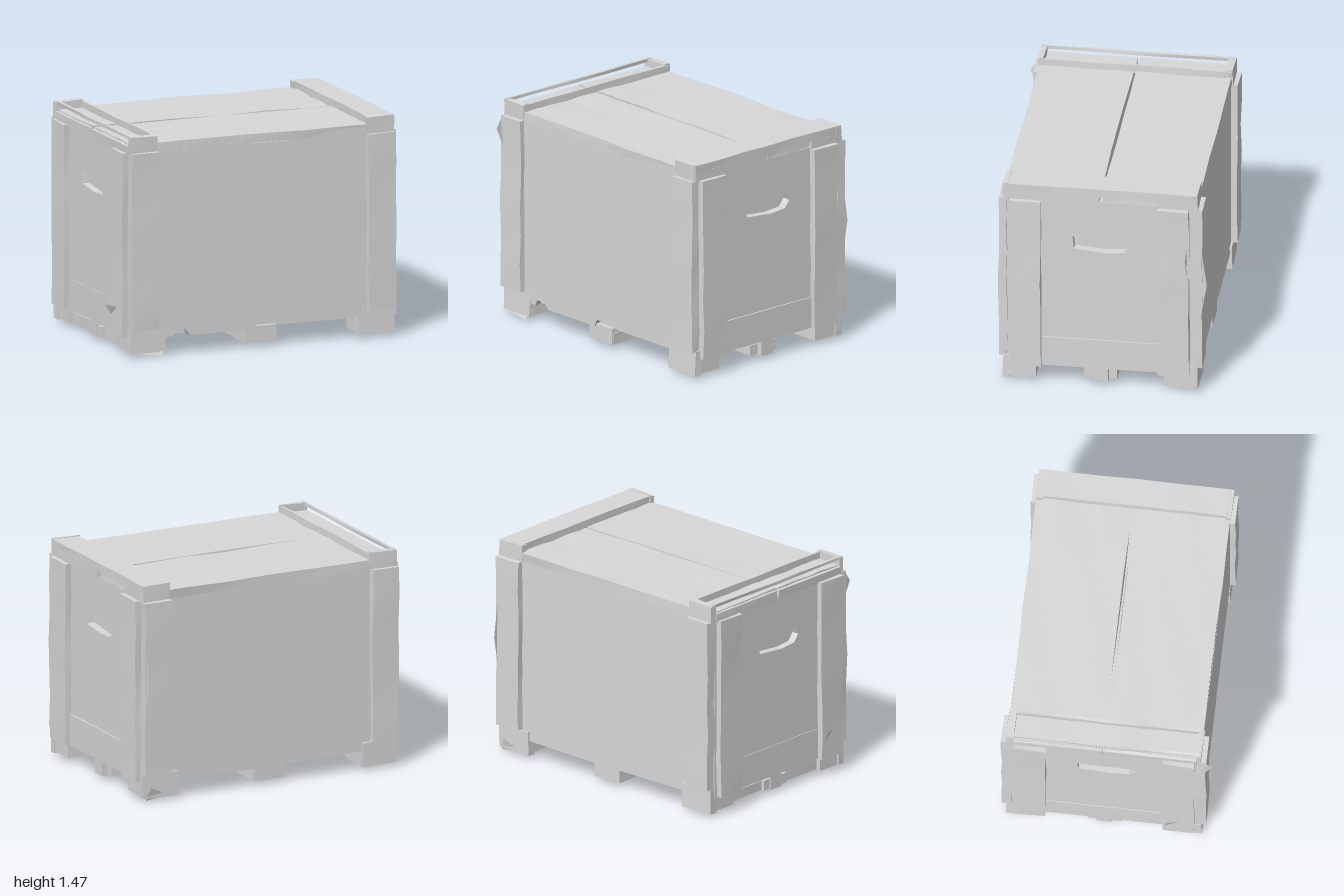
import * as THREE from 'three';

const wood = new THREE.MeshStandardMaterial({ color: 0xd8d8d8 });
wood.name = 'greyWood';

// Repeatable wear: the same position always gets the same offset
const wear = (x, y, z, k) => {
  const s = Math.sin(x * 127.1 + y * 311.7 + z * 74.7 + k * 53.3) * 4375.85;
  return s - Math.floor(s) - 0.5;
};

function add(group, name, geo) {
  const mesh = new THREE.Mesh(geo, wood);
  mesh.name = name;
  group.add(mesh);
  return mesh;
}

// A worn board given by its min / max corners
function board(group, name, [x0, x1], [y0, y1], [z0, z1], amount = 0) {
  const size = [x1 - x0, y1 - y0, z1 - z0];
  const seg = size.map(s => (amount && s > 0.6 ? 6 : 1));
  const geo = new THREE.BoxGeometry(...size, ...seg);
  geo.translate((x0 + x1) / 2, (y0 + y1) / 2, (z0 + z1) / 2);
  if (amount) {
    const p = geo.attributes.position;
    for (let i = 0; i < p.count; i++) {
      const v = [p.getX(i), p.getY(i), p.getZ(i)].map(n => Math.round(n * 1000) / 1000);
      p.setXYZ(i, ...v.map((n, k) => n + amount * wear(...v, k)));
    }
    geo.computeVertexNormals();
  }
  add(group, name, geo);
}

// A flat panel cut from an outline, with optional holes
function panel(group, name, outline, depth, holes = []) {
  const toV = pts => pts.map(([x, y]) => new THREE.Vector2(x, y));
  const shape = new THREE.Shape(toV(outline));
  holes.forEach(h => shape.holes.push(new THREE.Path(toV(h))));
  return add(group, name, new THREE.ExtrudeGeometry(shape, { depth, bevelEnabled: false }));
}

// Loose triangles with flat normals
function triangles(group, name, points) {
  const geo = new THREE.BufferGeometry();
  geo.setAttribute('position', new THREE.Float32BufferAttribute(points.flat(), 3));
  geo.computeVertexNormals();
  return add(group, name, geo);
}

// A thin splinter sticking out of an edge, closed on both sides
const splinter = (group, a, b, c) => triangles(group, 'splinter', [a, b, c, a, c, b]);

// A tapered pocket behind a clockwise hole outline
function pocket(group, loop, [cx, cy], zOut, zIn) {
  const points = [];
  loop.forEach((p, i) => {
    const q = loop[(i + 1) % loop.length];
    const shrink = ([x, y]) => [cx + (x - cx) * 0.85, cy + (y - cy) * 0.6, zIn];
    const [a, b, c, d] = [[...p, zOut], [...q, zOut], shrink(q), shrink(p)];
    points.push(a, b, c, a, c, d, d, c, [cx, cy, zIn]);
  });
  return triangles(group, 'handPocket', points);
}

export function createModel() {
  const crate = new THREE.Group();
  crate.name = 'crate';

  // Inner body
  board(crate, 'body', [-0.87, 0.88], [0.13, 1.36], [-0.59, 0.59]);

  // Lid: two planks with a narrow joint
  board(crate, 'lidFront', [-0.91, 0.93], [1.36, 1.42], [0.004, 0.63], 0.01);
  board(crate, 'lidBack', [-0.91, 0.93], [1.36, 1.42], [-0.64, -0.014], 0.01);

  // Front and back panels with chipped edges
  const front = panel(crate, 'frontPanel', [
    [-0.91, 0.13], [-0.62, 0.12], [-0.6, 0.16], [-0.53, 0.16], [-0.5, 0.12], [-0.04, 0.12],
    [-0.02, 0.17], [0.68, 0.17], [0.73, 0.13], [0.93, 0.13], [0.93, 1.4], [0.23, 1.4], [0.2, 1.36],
    [-0.05, 1.36], [-0.08, 1.4], [-0.13, 1.4], [-0.17, 1.37], [-0.28, 1.37], [-0.3, 1.4],
    [-0.5, 1.4], [-0.54, 1.35], [-0.58, 1.4], [-0.91, 1.4],
  ], 0.045);
  front.position.z = 0.585;
  const back = panel(crate, 'backPanel', [
    [-0.91, 0.13], [-0.1, 0.12], [0.45, 0.12], [0.93, 0.13], [0.93, 1.4], [0.3, 1.4],
    [0.24, 1.36], [0.14, 1.37], [0.1, 1.4], [-0.91, 1.4],
  ], 0.045);
  back.position.z = -0.635;

  // End panels with a hand hole, a bottom rail and two uprights each
  const hole = [[-0.18, 1.1], [0.18, 1.1], [0.2, 1.05], [0.16, 1.0], [0.04, 0.99], [-0.17, 1.01]];
  const outline = [[-0.61, 0.13], [0.61, 0.13], [0.61, 1.37], [-0.61, 1.37]];
  for (const s of [1, -1]) {
    const end = new THREE.Group();
    end.name = s > 0 ? 'leftEnd' : 'rightEnd';
    const wall = panel(end, 'endPanel', outline, 0.055, [hole]);
    const grip = pocket(end, hole, [0.01, 1.05], 0.055, 0.01);
    for (const part of [wall, grip]) {
      part.rotation.y = s * Math.PI / 2;
      part.position.x = s > 0 ? 0.88 : -0.865;
    }
    const span = (a, b) => (s > 0 ? [a, b] : [-b + 0.02, -a + 0.02]);
    board(end, 'bottomRail', span(0.92, 0.945), [0.13, 0.34], [-0.385, 0.385]);
    for (const z of [-0.59, 0.385])
      board(end, 'endUpright', span(0.92, 0.98), [0.13, 1.36], [z, z + 0.205], 0.01);
    crate.add(end);
  }

  // Corner boards on the front and back faces, with foot caps below and top caps above
  for (const [x0, x1] of [[-0.92, -0.73], [0.755, 0.95]]) {
    for (const s of [1, -1]) {
      const span = (a, b) => (s > 0 ? [a, b] : [-b - 0.012, -a]);
      board(crate, 'cornerBoard', [x0, x1], [0.19, 1.36], span(0.61, 0.665), 0.01);
      board(crate, 'topCap', [x0, x1], [1.35, 1.47], span(0.6, 0.635), 0.01);
      board(crate, 'footCap', x0 < 0 ? [x0, -0.67] : [0.69, x1], [0.025, 0.19], span(0.59, 0.635), 0.01);
    }
  }

  // Left top batten: whole on top, with a break in its outer drop
  board(crate, 'topBatten', [0.765, 0.95], [1.41, 1.47], [-0.63, 0.63], 0.006);
  board(crate, 'battenDropFront', [0.92, 0.95], [1.36, 1.42], [0.004, 0.63]);
  board(crate, 'battenDropBack', [0.92, 0.95], [1.36, 1.42], [-0.63, -0.38]);

  // Right top batten: split open into thin strips
  board(crate, 'splitBattenInner', [-0.745, -0.725], [1.41, 1.465], [-0.63, 0.63], 0.006);
  board(crate, 'splitBattenOuter', [-0.915, -0.895], [1.45, 1.47], [-0.63, 0.63], 0.006);
  for (const z of [[-0.6, -0.014], [0.004, 0.6]])
    board(crate, 'splitBattenLip', [-0.93, -0.9], [1.35, 1.41], z, 0.006);

  // Pallet base: spacer blocks in three rows, joined by skids
  for (const [x0, x1] of [[-0.91, -0.67], [-0.1, 0.12], [0.7, 0.94]])
    for (const [z0, z1] of [[-0.63, -0.42], [-0.055, 0.045], [0.42, 0.62]])
      board(crate, 'spacerBlock', [x0, x1], [0.03, 0.14], [z0, z1]);
  board(crate, 'crossSkidRight', [-0.88, -0.68], [0.035, 0.105], [-0.6, 0.6], 0.006);
  board(crate, 'crossSkidMiddle', [-0.095, 0.125], [0.035, 0.11], [-0.61, 0.61], 0.006);
  board(crate, 'longSkid', [-0.9, 0.9], [0.037, 0.105], [-0.11, 0.11]);

  // Splinters at the corners and feet
  splinter(crate, [-0.93, 0.2, 0.42], [-1.0, 0.32, 0.4], [-0.94, 0.32, 0.55]);
  splinter(crate, [0.97, 1.15, -0.58], [1.0, 1.0, -0.57], [0.97, 0.8, -0.58]);
  splinter(crate, [-0.915, 1.35, 0.66], [-0.91, 1.28, 0.71], [-0.9, 1.15, 0.66]);
  splinter(crate, [0.94, 1.05, -0.67], [0.94, 0.8, -0.705], [0.94, 0.6, -0.67]);
  splinter(crate, [-0.9, 0.03, 0.63], [-0.7, 0, 0.65], [-0.68, 0.05, 0.63]);
  splinter(crate, [0.76, 0.03, -0.64], [0.93, 0.01, -0.64], [0.9, 0.1, -0.66]);

  return crate;
}
